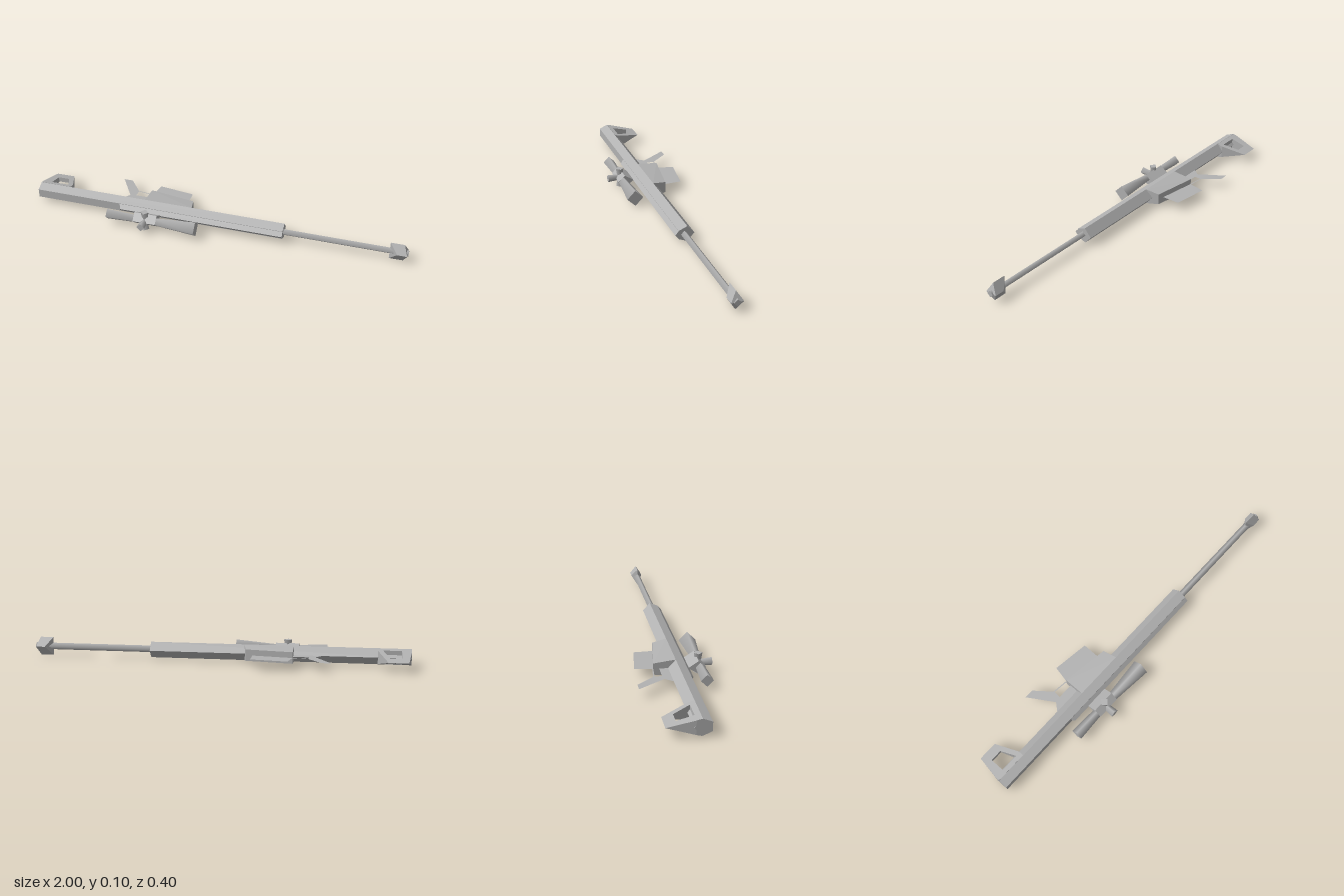
import * as THREE from 'three';
import { ConvexGeometry } from 'three/addons/geometries/ConvexGeometry.js';

const Y = 0.052; // height of the mirror plane the rifle lies on

export function createModel() {
  const root = new THREE.Group();
  root.name = 'rifle';
  const metal = new THREE.MeshStandardMaterial({ color: 0xb2b2b2 });
  metal.name = 'gunmetal grey';
  metal.side = THREE.DoubleSide;

  const add = (name, geometry) => {
    const mesh = new THREE.Mesh(geometry, metal);
    mesh.name = name;
    root.add(mesh);
    return mesh;
  };

  // Faceted solid: points are [x, half thickness, z], mirrored across the plane
  const solid = (name, points) => add(name, new ConvexGeometry(points.flatMap(([x, h, z]) => [
    new THREE.Vector3(x, Y + h, z), new THREE.Vector3(x, Y - h, z),
  ])));

  // Straight prism along x from a half section of [half thickness, z]
  const prism = (name, x0, x1, section) =>
    solid(name, section.flatMap(([h, z]) => [[x0, h, z], [x1, h, z]]));

  const outline = (points) => points.map(([x, z]) => new THREE.Vector2(x, -z));

  // Flat plate lying in the mirror plane, from [x, z] points
  const plate = (name, points) => {
    const g = new THREE.ShapeGeometry(new THREE.Shape(outline(points)));
    g.rotateX(-Math.PI / 2);
    g.translate(0, Y, 0);
    return add(name, g);
  };

  // Four-sided smooth tube; r0 at the start and r1 at the end of the axis
  const tube = (name, from, to, r0, r1) => {
    const a = new THREE.Vector3(...from), b = new THREE.Vector3(...to);
    const mesh = add(name, new THREE.CylinderGeometry(r1, r0, a.distanceTo(b), 4));
    mesh.position.copy(a).add(b).multiplyScalar(0.5);
    mesh.quaternion.setFromUnitVectors(new THREE.Vector3(0, 1, 0), b.sub(a).normalize());
  };

  // Receiver, top rail and barrel
  prism('receiver', -1, 0.36, [[0, -0.026], [0.042, 0.012], [0.023, 0.057]]);
  solid('topRail', [
    [-0.53, 0.023, 0.055], [0.36, 0.023, 0.055], [-0.52, 0, 0.075], [0.36, 0, 0.075],
  ]);
  tube('barrel', [0.35, Y, 0.027], [1, Y, 0.027], 0.018, 0.018);

  // Chevron-shaped muzzle brake
  solid('muzzleBrake', [
    [0.905, 0.049, 0.027], [0.975, 0.049, 0.027],
    [0.945, 0, -0.005], [0.995, 0, -0.005],
    [0.945, 0, 0.057], [0.995, 0, 0.057],
  ]);

  // Magazine well with slanted floor, and the thin magazine below
  solid('magazineWell', [
    [-0.4, 0.042, 0.012], [-0.14, 0.042, 0.012],
    [-0.4, 0.03, -0.099], [-0.155, 0.03, -0.062],
  ]);
  plate('magazine', [[-0.4, -0.09], [-0.38, -0.19], [-0.19, -0.164], [-0.19, -0.06]]);

  // Grip and trigger guard plates
  plate('grip', [
    [-0.6, -0.2], [-0.552, -0.2], [-0.48, -0.11], [-0.483, -0.07],
    [-0.4, -0.07], [-0.4, -0.01], [-0.56, -0.01], [-0.515, -0.065],
  ]);
  plate('triggerGuard', [[-0.485, -0.114], [-0.4, -0.104], [-0.4, -0.098], [-0.485, -0.108]]);

  // Open stock, tapering to an edge at the bottom
  const frame = new THREE.Shape(outline([
    [-1, 0.01], [-1, -0.015], [-0.98, -0.147], [-0.88, -0.147], [-0.83, -0.02], [-0.83, 0.01],
  ]));
  frame.holes.push(new THREE.Path(outline([
    [-0.95, -0.014], [-0.95, -0.096], [-0.888, -0.096], [-0.855, -0.014],
  ])));
  const stock = new THREE.ExtrudeGeometry(frame, { depth: 2, bevelEnabled: false });
  stock.translate(0, 0, -1);
  stock.rotateX(-Math.PI / 2);
  const p = stock.attributes.position;
  for (let i = 0; i < p.count; i++) {
    p.setY(i, Y + p.getY(i) * 0.042 * (p.getZ(i) + 0.147) / 0.157);
  }
  stock.computeVertexNormals();
  add('stock', stock);

  // Scope with mount, flared objective and three turrets
  const sx = -0.36, sz = 0.131;
  prism('scopeMount', -0.42, -0.297, [[0, 0.07], [0.034, 0.122], [0, 0.158]]);
  tube('scopeEyepiece', [-0.57, Y, sz], [-0.4, Y, sz], 0.031, 0.023);
  tube('scopeObjective', [-0.32, Y, sz], [-0.083, Y, sz + 0.002], 0.023, 0.044);
  for (const s of [1, -1]) {
    tube('sideTurret', [sx, Y, sz], [sx, Y + s * 0.052, sz], 0.014, 0.022);
  }
  tube('topTurret', [sx, Y, sz], [sx, Y, 0.2], 0.016, 0.022);

  return root;
}
